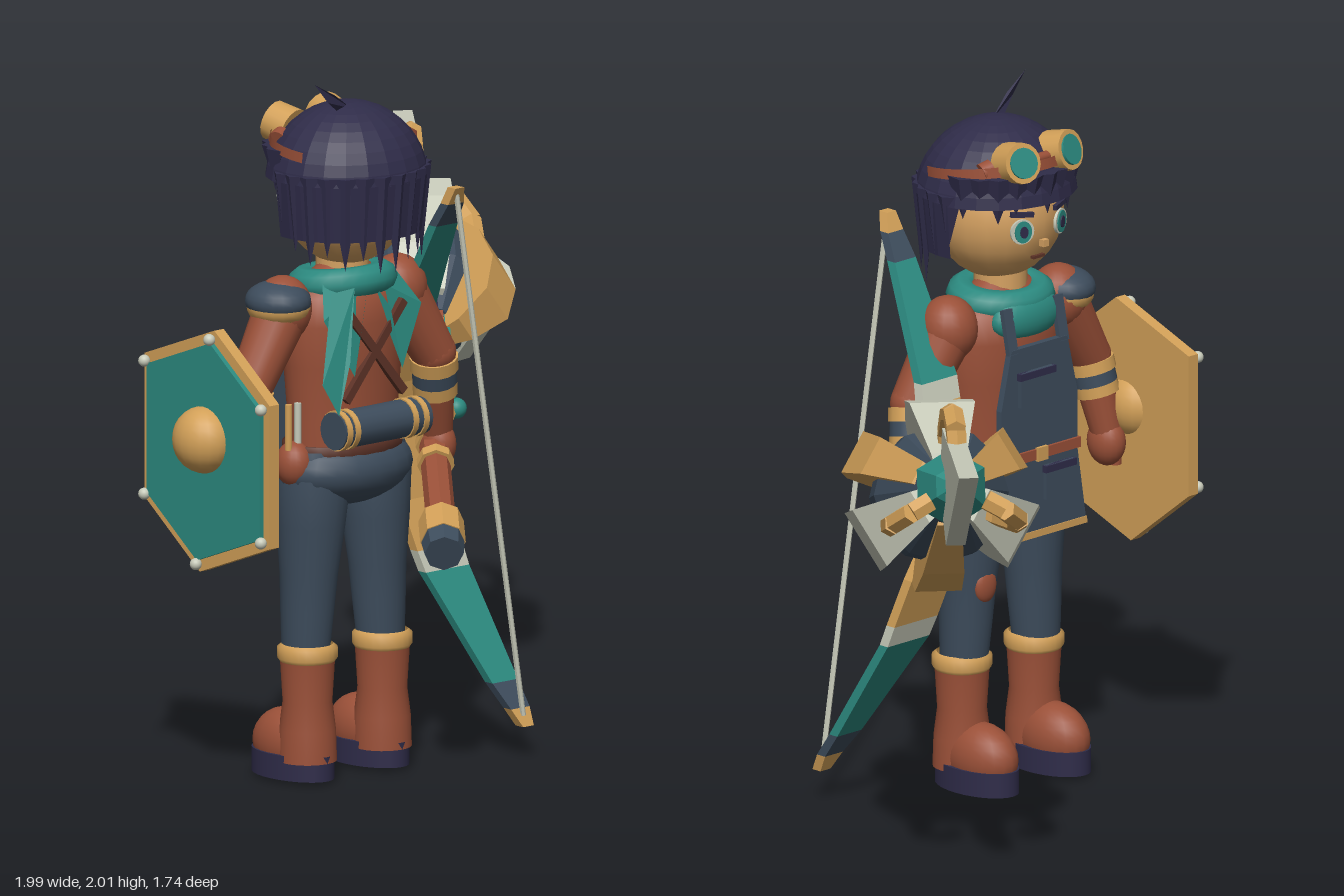
import * as THREE from 'three';
import { toCreasedNormals } from 'three/addons/utils/BufferGeometryUtils.js';
import { ConvexGeometry } from 'three/addons/geometries/ConvexGeometry.js';

const material = (name, color) => Object.assign(new THREE.MeshStandardMaterial({ color, side: THREE.DoubleSide }), { name });
const M = {
  gold: material('gold', 0xd2a058), brown: material('brown leather', 0x9a5038), slate: material('slate cloth', 0x3d4c5c),
  teal: material('teal', 0x2c8a80), cream: material('pale metal', 0xc6c9b8), navy: material('dark navy', 0x2f2c49),
  skin: material('skin', 0xd6a262), dark: material('dark trim', 0x5f3428),
};
const V = (x, y, z) => new THREE.Vector3(x, y, z);
const UP = V(0, 1, 0);
const flat = (g) => toCreasedNormals(g, 0.05);
const CX = -0.457, CZ = 0.46; // figure's centre line

function add(parent, name, geo, mat, pos = [0, 0, 0], scale = [1, 1, 1], rot = [0, 0, 0]) {
  const m = new THREE.Mesh(geo, mat);
  m.name = name;
  m.position.set(...pos); m.scale.set(...scale); m.rotation.set(...rot);
  parent.add(m);
  return m;
}
const ball = (p, name, mat, pos, r) =>
  add(p, name, new THREE.SphereGeometry(1, 20, 14), mat, pos, Array.isArray(r) ? r : [r, r, r]);
const box = (p, name, mat, pos, size, rot) => add(p, name, new THREE.BoxGeometry(...size), mat, pos, [1, 1, 1], rot);
const lathe = (pts, n = 24) => new THREE.LatheGeometry(pts.map((q) => new THREE.Vector2(...q)), n);

// Tapered round bar between two points
function bar(p, name, mat, a, b, r0, r1 = r0, n = 16) {
  const A = V(...a), D = V(...b).sub(A);
  let g = new THREE.CylinderGeometry(r1, r0, D.length(), n);
  if (n < 10) g = flat(g);
  const m = add(p, name, g, mat);
  m.position.copy(A).addScaledVector(D, 0.5);
  m.quaternion.setFromUnitVectors(UP, D.normalize());
  return m;
}
// Thin sheet from a fan of corners
function sheet(p, name, mat, pts) {
  const g = new THREE.BufferGeometry().setFromPoints(pts.map((q) => V(...q)));
  g.setIndex(pts.slice(2).flatMap((_, i) => [0, i + 1, i + 2]));
  return add(p, name, flat(g), mat);
}
const extrude = (pts, depth) => new THREE.ExtrudeGeometry(new THREE.Shape(pts.map((q) => new THREE.Vector2(...q))), { depth, bevelEnabled: false }).translate(0, 0, -depth / 2);

function buildLegs(g) {
  for (const s of [-1, 1]) {
    const x = CX + s * 0.142;
    const foot = new THREE.CylinderGeometry(1, 1, 0.07, 28);
    add(g, 'sole', foot, M.navy, [x, 0.035, 0.41], [0.088, 1, 0.143]);
    ball(g, 'bootToe', M.brown, [x, 0.09, 0.395], [0.082, 0.1, 0.125]);
    add(g, 'bootShaft', lathe([[0.083, 0.05], [0.08, 0.14], [0.07, 0.22], [0.078, 0.35]]), M.brown, [x, 0, 0.47]);
    add(g, 'bootCuff', lathe([[0.078, 0.335], [0.085, 0.345], [0.085, 0.375], [0.072, 0.385]]), M.gold, [x, 0, 0.47]);
    const leg = lathe([[0.068, 0.36], [0.076, 0.48], [0.082, 0.58], [0.097, 0.72], [0.108, 0.86], [0.09, 0.94]]);
    const P = leg.attributes.position;
    for (let i = 0; i < P.count; i++) P.setX(i, P.getX(i) - s * (P.getY(i) - 0.36) * 0.055);
    add(g, 'trouserLeg', leg, M.slate, [x, 0, 0.462]);
  }
  ball(g, 'kneePatch', M.brown, [CX + 0.13, 0.59, 0.39], [0.04, 0.05, 0.02]);
  ball(g, 'hips', M.slate, [CX, 0.875, CZ], [0.228, 0.11, 0.155]);
}

function buildTorso(g) {
  add(g, 'jacket', lathe([[0.17, 0.88], [0.18, 0.93], [0.178, 1.02], [0.192, 1.18], [0.205, 1.3], [0.185, 1.38], [0.1, 1.44], [0.07, 1.46]], 32), M.brown, [CX, 0, CZ], [1, 1, 0.67]);
  add(g, 'belt', lathe([[0.18, 0.925], [0.193, 0.925], [0.193, 0.955], [0.18, 0.955]], 32), M.dark, [CX, 0, CZ], [1, 1, 0.7]);
  for (const s of [-1, 1]) {
    box(g, 'backStrap', M.dark, [CX, 1.22, 0.592], [0.025, 0.34, 0.018], [0, 0, s * 0.7]);
    box(g, 'apronStrap', M.slate, [CX + s * 0.1, 1.34, 0.325], [0.035, 0.13, 0.015], [0.2, 0, 0]);
  }
  // Apron with trim, belt and pockets
  const apron = [[-0.11, 1.29], [0.11, 1.29], [0.15, 1.12], [0.15, 0.95], [0.185, 0.73], [-0.185, 0.73], [-0.15, 0.95], [-0.15, 1.12]];
  add(g, 'apron', extrude(apron, 0.02), M.slate, [CX, 0, 0.315]);
  add(g, 'apronHem', extrude([[-0.187, 0.725], [0.187, 0.725], [0.184, 0.745], [-0.184, 0.745]], 0.026), M.gold, [CX, 0, 0.315]);
  box(g, 'apronBelt', M.brown, [CX, 0.97, 0.302], [0.31, 0.03, 0.012]);
  box(g, 'buckle', M.gold, [CX, 0.97, 0.295], [0.04, 0.04, 0.01]);
  for (const [x, y, w] of [[0.02, 1.17, 0.13], [-0.07, 0.88, 0.11]]) {
    box(g, 'apronPocket', M.slate, [CX + x, y, 0.3], [w, 0.1, 0.016]);
    box(g, 'pocketFlap', M.navy, [CX + x, y + 0.04, 0.296], [w + 0.01, 0.02, 0.016]);
  }
  // Bedroll, pouch and tools
  bar(g, 'bedroll', M.slate, [-0.615, 1.012, 0.595], [-0.285, 1.012, 0.595], 0.054);
  for (const x of [-0.6, -0.57, -0.35, -0.31]) bar(g, 'bedrollBand', M.gold, [x - 0.009, 1.012, 0.595], [x + 0.009, 1.012, 0.595], 0.058);
  ball(g, 'pouch', M.brown, [-0.65, 0.905, 0.47], [0.052, 0.065, 0.055]);
  for (const x of [-0.68, -0.645]) bar(g, 'pouchTool', x < -0.66 ? M.gold : M.cream, [x, 0.95, 0.48], [x, 1.08, 0.48], 0.01);
  // Scarf and its hanging tails
  const ring = new THREE.TorusGeometry(0.105, 0.045, 10, 28).rotateX(Math.PI / 2);
  add(g, 'scarfRing', ring, M.teal, [CX, 1.405, CZ], [1.1, 1, 0.95], [-0.1, 0, 0]);
  ball(g, 'scarfFront', M.teal, [CX, 1.36, 0.36], [0.13, 0.07, 0.05]);
  for (const s of [-1, 1]) {
    sheet(g, 'scarfDrape', M.teal, [[CX, 1.43, 0.57], [CX + s * 0.14, 1.42, 0.53], [CX + s * 0.185, 1.33, 0.585], [CX + s * 0.09, 1.16, 0.61], [CX + s * 0.05, 1.34, 0.605]]);
  }
  sheet(g, 'scarfTail', M.teal, [[-0.53, 1.41, 0.59], [-0.6, 1.4, 0.57], [-0.72, 1.17, 0.665], [-0.68, 1.08, 0.69], [-0.61, 1.22, 0.66]]);
}

function buildArms(g) {
  const arms = [
    { s: [-0.675, 1.35, 0.45], e: [-0.795, 1.15, 0.45], h: [-0.825, 0.93, 0.41] },
    { s: [-0.24, 1.35, 0.45], e: [-0.125, 1.15, 0.475], h: [-0.062, 0.9, 0.42] },
  ];
  arms.forEach(({ s, e, h }) => {
    const at = (t) => s.map((_, i) => e[i] + (h[i] - e[i]) * t);
    ball(g, 'shoulder', M.brown, s, [0.085, 0.095, 0.085]);
    bar(g, 'sleeve', M.brown, s, e, 0.08, 0.064);
    ball(g, 'elbow', M.brown, e, 0.064);
    bar(g, 'forearm', M.brown, e, h, 0.062, 0.045);
    bar(g, 'upperCuff', M.gold, at(0.05), at(0.2), 0.069);
    bar(g, 'bracer', M.slate, at(0.2), at(0.36), 0.064);
    bar(g, 'lowerCuff', M.gold, at(0.36), at(0.5), 0.064);
    ball(g, 'hand', M.brown, [h[0], h[1] - 0.03, h[2]], [0.05, 0.07, 0.06]);
  });
  ball(g, 'pauldronRim', M.gold, [-0.69, 1.36, 0.45], [0.088, 0.06, 0.094]);
  ball(g, 'pauldron', M.slate, [-0.692, 1.375, 0.45], [0.09, 0.058, 0.098]);
}

function buildHead(g) {
  bar(g, 'neck', M.skin, [CX, 1.4, CZ], [CX, 1.52, CZ], 0.075);
  ball(g, 'head', M.skin, [CX, 1.655, 0.475], [0.19, 0.2, 0.19]);
  const hz = 0.477;
  add(g, 'hairCap', flat(new THREE.SphereGeometry(1, 22, 10, 0, Math.PI * 2, 0, 1.48)), M.navy, [CX, 1.69, hz], [0.237, 0.23, 0.222]);
  add(g, 'hairBack', flat(new THREE.CylinderGeometry(1, 0.93, 0.16, 16, 1, true, -1.75, 3.5)), M.navy, [CX, 1.635, hz], [0.237, 1, 0.222]);
  // Hanging locks, long at the back and short over the brow
  for (let i = 0; i < 26; i++) {
    const a = (i / 26) * Math.PI * 2, back = Math.cos(a), wob = ((i * 7) % 5) * 0.013;
    const bottom = (back > 0.2 ? 1.46 : back > -0.35 ? 1.52 : 1.665) + wob;
    const top = back > -0.35 ? 1.74 : 1.8;
    const lock = flat(new THREE.ConeGeometry(0.05, top - bottom, 4).rotateX(Math.PI));
    add(g, 'hairLock', lock, M.navy, [CX + Math.sin(a) * 0.218, (top + bottom) / 2, hz + back * 0.204], [1, 1, 0.55], [0, a, 0]);
  }
  sheet(g, 'stuckUpLock', M.navy, [[-0.46, 1.9, 0.5], [-0.55, 1.955, 0.53], [-0.64, 2.0, 0.545], [-0.585, 1.94, 0.54], [-0.52, 1.9, 0.51]]);
  // Face
  for (const s of [-1, 1]) {
    const x = CX + s * 0.075;
    const disc = (name, mat, y, z, w, h) => add(g, name, new THREE.CylinderGeometry(1, 1, 0.008, 20).rotateX(Math.PI / 2), mat, [x, y, z], [w, h, 1], [0, -s * 0.35, 0]);
    disc('eyeWhite', M.cream, 1.635, 0.299, 0.036, 0.036);
    disc('iris', M.teal, 1.635, 0.295, 0.026, 0.032);
    disc('pupil', M.navy, 1.635, 0.291, 0.012, 0.017);
    box(g, 'eyebrow', M.navy, [x, 1.685, 0.299], [0.07, 0.014, 0.012], [0, -s * 0.35, s * 0.1]);
    // Goggles
    const gx = CX + s * 0.08;
    bar(g, 'goggleRim', M.gold, [gx, 1.825, 0.345], [gx + s * 0.014, 1.845, 0.275], 0.062, 0.058);
    bar(g, 'goggleLens', M.teal, [gx + s * 0.013, 1.844, 0.278], [gx + s * 0.015, 1.847, 0.27], 0.044);
    bar(g, 'goggleStud', M.brown, [gx + s * 0.055, 1.82, 0.36], [gx + s * 0.085, 1.81, 0.37], 0.028);
  }
  box(g, 'nose', M.skin, [CX, 1.59, 0.288], [0.02, 0.02, 0.02]);
  box(g, 'mouth', M.dark, [CX, 1.545, 0.312], [0.045, 0.008, 0.012]);
  bar(g, 'goggleBridge', M.brown, [CX - 0.04, 1.835, 0.305], [CX + 0.04, 1.835, 0.305], 0.014);
  const strap = new THREE.CylinderGeometry(1, 1, 0.03, 20, 1, true, 1.3, 3.68);
  add(g, 'goggleStrap', strap, M.brown, [CX, 1.8, hz], [0.225, 1, 0.205], [0.12, 0, 0]);
}

function buildShield(g) {
  const hex = (k) => [[-0.26, 0.24], [0.03, 0.35], [0.26, 0.17], [0.26, -0.24], [-0.03, -0.35], [-0.26, -0.17]].map(([z, y]) => [-z * k, y * k]);
  const s = new THREE.Group();
  s.name = 'shield';
  s.position.set(-0.88, 0.963, 0.38);
  s.rotation.y = Math.PI / 2; // local x runs along -z, local z along +x
  g.add(s);
  add(s, 'shieldPlate', extrude(hex(1), 0.036), M.gold);
  add(s, 'shieldFace', extrude(hex(0.9), 0.018), M.teal, [0, 0, -0.024]);
  ball(s, 'shieldBoss', M.gold, [0, 0.035, -0.03], [0.095, 0.095, 0.085]);
  hex(0.93).forEach(([x, y]) => ball(s, 'rivet', M.cream, [x, y, -0.035], 0.017));
  bar(g, 'shieldGrip', M.brown, [-0.85, 0.83, 0.4], [-0.85, 1.05, 0.4], 0.018);
}

function buildBow(g) {
  const half = [[0.08, 0.65, 0.02], [0.13, 0.625, 0.035], [0.2, 0.575, 0.048], [0.5, 0.39, 0.082], [0.56, 0.37, 0.085], [0.7, 0.325, 0.085], [0.87, 0.3, 0.03]];
  const mats = [M.gold, M.slate, M.teal, M.cream, M.gold, M.gold];
  const corners = ([y, z, w]) => {
    const x = -0.2 + (1.66 - y) * 0.165;
    return [-1, 1].flatMap((i) => [-1, 1].map((k) => V(x + i * w, y, z + k * 0.016)));
  };
  for (const flip of [false, true]) {
    const st = half.map(([y, z, w]) => [flip ? 1.74 - y : y, z, flip ? w * 0.85 : w]);
    mats.forEach((m, i) => add(g, 'bowLimb', flat(new ConvexGeometry([...corners(st[i]), ...corners(st[i + 1])])), m));
  }
  bar(g, 'bowstring', M.cream, [0.055, 0.11, 0.65], [-0.198, 1.64, 0.65], 0.008, 0.008, 6);
}

function buildLance(g) {
  const w = new THREE.Group();
  w.name = 'lance';
  const u = V(0.773, 0, 0.635).normalize();
  const d = V(1.38, 0.795, -1.68).normalize();
  const v = u.clone().cross(d).normalize();
  w.quaternion.setFromRotationMatrix(new THREE.Matrix4().makeBasis(u, d, v));
  w.position.set(-0.41, 0.67, 0.83);
  g.add(w);
  const rod = (name, mat, y0, y1, r0, r1 = r0, n = 8) => bar(w, name, mat, [0, y0, 0], [0, y1, 0], r0, r1, n);
  // Handle
  rod('pommel', M.slate, 0, 0.07, 0.055, 0.062);
  rod('pommelRing', M.gold, 0.06, 0.17, 0.064);
  rod('handle', M.brown, 0.16, 0.72, 0.042);
  for (const y of [0.46, 0.56, 0.63]) rod('handleRing', M.gold, y, y + 0.035, 0.052);
  rod('guard', M.gold, 0.66, 0.75, 0.05, 0.075);
  for (const s of [-1, 1]) ball(w, 'guardOrb', M.teal, [s * 0.072, 0.76, 0], 0.03);
  // Housing
  box(w, 'housing', M.brown, [0, 1.0, 0], [0.105, 0.56, 0.17]);
  box(w, 'housingTop', M.navy, [0, 1.0, 0.093], [0.075, 0.58, 0.035]);
  box(w, 'housingKeel', M.teal, [0, 1.0, -0.095], [0.12, 0.56, 0.025]);
  for (const y of [0.87, 0.97, 1.12]) box(w, 'topKey', M.cream, [0, y, 0.112], [0.03, 0.06, 0.012]);
  for (const y of [0.78, 0.89]) box(w, 'housingBand', M.gold, [0, y, 0], [0.125, 0.028, 0.2]);
  for (const s of [-1, 1]) {
    box(w, 'sideRail', M.teal, [s * 0.062, 0.98, 0.06], [0.015, 0.5, 0.02]);
    box(w, 'sidePlate', M.gold, [s * 0.056, 1.06, 0], [0.015, 0.16, 0.05]);
  }
  // Barrel with three gold and three pale ribs
  add(w, 'barrel', flat(lathe([[0, 1.14], [0.1, 1.14], [0.19, 1.3], [0.19, 1.45], [0.09, 1.7], [0, 1.7]], 12)), M.slate);
  const rib = (name, mat, deg, pts, width) => {
    const geo = extrude(pts, width), P = geo.attributes.position;
    for (let i = 0; i < P.count; i++) P.setZ(i, P.getZ(i) * (0.25 + 0.75 * P.getX(i) / 0.26));
    add(w, name, flat(geo), mat, [0, 0, 0], [1, 1, 1], [0, -deg * Math.PI / 180, 0]);
  };
  const claw = new THREE.CurvePath();
  const cp = [[0.07, 1.64], [0.16, 1.7], [0.205, 1.79], [0.2, 1.89], [0.15, 1.97], [0.09, 1.97]];
  for (let k = 0; k < 3; k++) {
    rib('goldRib', M.gold, 30 + k * 120, [[0.04, 1.08], [0.13, 1.07], [0.235, 1.12], [0.265, 1.26], [0.225, 1.44], [0.1, 1.68], [0.04, 1.68]], 0.13);
    rib('paleRib', M.cream, 90 + k * 120, [[0.04, 1.18], [0.13, 1.18], [0.21, 1.3], [0.262, 1.46], [0.25, 1.57], [0.1, 1.73], [0.04, 1.73]], 0.19);
    // Claws around the gem
    const a = (90 + k * 120) * Math.PI / 180;
    const p3 = cp.map(([r, y]) => [r * Math.cos(a), y, r * Math.sin(a)]);
    p3.slice(1).forEach((p, i) => bar(w, 'claw', M.gold, p3[i], p, 0.031, 0.031, 6));
  }
  add(w, 'gem', flat(lathe([[0, 1.62], [0.07, 1.67], [0.11, 1.76], [0.06, 1.87], [0, 1.92]], 6)), M.teal);
  const blade = extrude([[-0.04, 1.74], [0.04, 1.74], [0.165, 1.84], [0, 2.32], [-0.165, 1.84]], 0.055).rotateY(Math.PI / 2);
  add(w, 'blade', flat(blade), M.cream);
}

export function createModel() {
  const g = new THREE.Group();
  g.name = 'adventurer';
  [buildLegs, buildTorso, buildArms, buildHead, buildShield, buildBow, buildLance].forEach((build) => build(g));
  return g;
}
